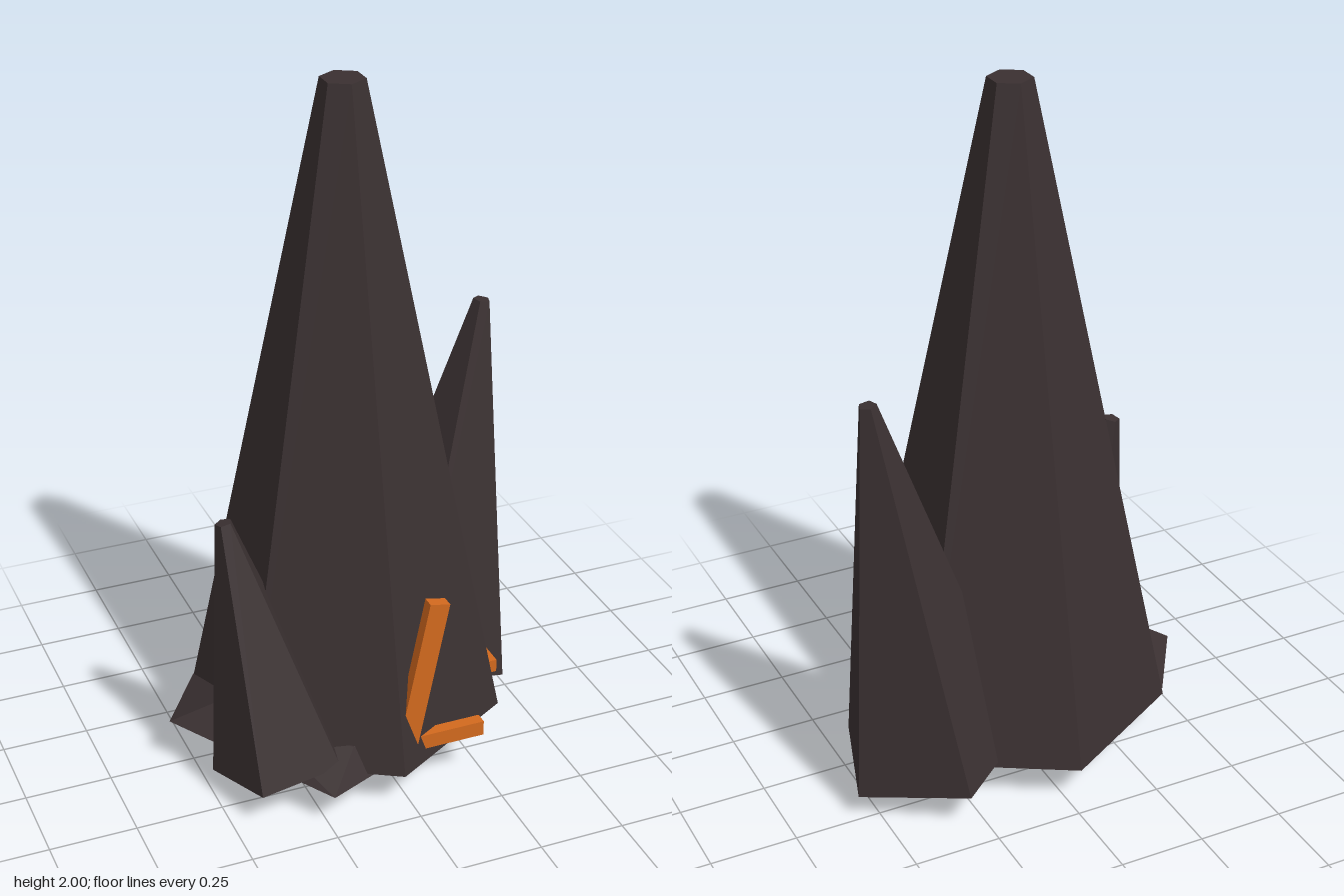
import * as THREE from 'three';
import { ConvexGeometry } from 'three/addons/geometries/ConvexGeometry.js';

export function createModel() {
  const group = new THREE.Group();
  const rock = new THREE.MeshStandardMaterial({ color: 0x3a3031, flatShading: true });
  rock.name = 'dark rock';
  const ember = new THREE.MeshStandardMaterial({ color: 0xd2691e, flatShading: true });
  ember.name = 'ember orange';

  const add = (name, geometry, material) => {
    const mesh = new THREE.Mesh(geometry, material);
    mesh.name = name;
    group.add(mesh);
    return mesh;
  };

  // Tapered prism running from a base centre to a tip centre
  function spire(name, base, tip, rBase, rTip, sides) {
    const a = new THREE.Vector3(...base);
    const axis = new THREE.Vector3(...tip).sub(a);
    const height = axis.length();
    const geometry = new THREE.CylinderGeometry(rTip, rBase, height, sides);
    geometry.rotateY(Math.PI); // one corner points to the back
    geometry.translate(0, height / 2, 0);
    const mesh = add(name, geometry, rock);
    mesh.position.copy(a);
    mesh.quaternion.setFromUnitVectors(new THREE.Vector3(0, 1, 0), axis.normalize());
  }
  spire('mainSpire', [-0.028, 0.11, -0.003], [-0.028, 2, -0.003], 0.455, 0.062, 6);
  spire('leftSpire', [0.302, 0.107, -0.16], [0.46, 1.232, -0.155], 0.273, 0.025, 5);
  spire('rightSpire', [-0.308, 0.107, 0.223], [-0.435, 0.85, 0.142], 0.2, 0.024, 5);

  // Flattened irregular boulder under the spires
  const boulder = [
    [-0.05, 0, -0.06], [-0.565, 0.14, -0.01], [-0.24, 0.1, 0.455],
    [0.36, 0.1, 0.2], [0.24, 0.085, -0.32], [-0.42, 0.13, -0.23],
    [-0.15, 0.19, 0.37], [0.37, 0.28, 0.04], [-0.4, 0.23, 0.06],
    [0.1, 0.26, -0.25],
  ].map((p) => new THREE.Vector3(...p));
  add('baseBoulder', new ConvexGeometry(boulder), rock);

  // Glowing cracks, partly sunk into the rock
  function crack(name, size, position, tilt = 0) {
    const mesh = add(name, new THREE.BoxGeometry(...size), ember);
    mesh.position.set(...position);
    mesh.rotation.z = tilt;
  }
  crack('tallCrack', [0.06, 0.535, 0.035], [0.037, 0.357, 0.388], -0.2);
  crack('lowCrack', [0.26, 0.045, 0.035], [0.108, 0.167, 0.377]);
  crack('sideCrack', [0.035, 0.04, 0.2], [0.392, 0.166, 0.02]);

  return group;
}
